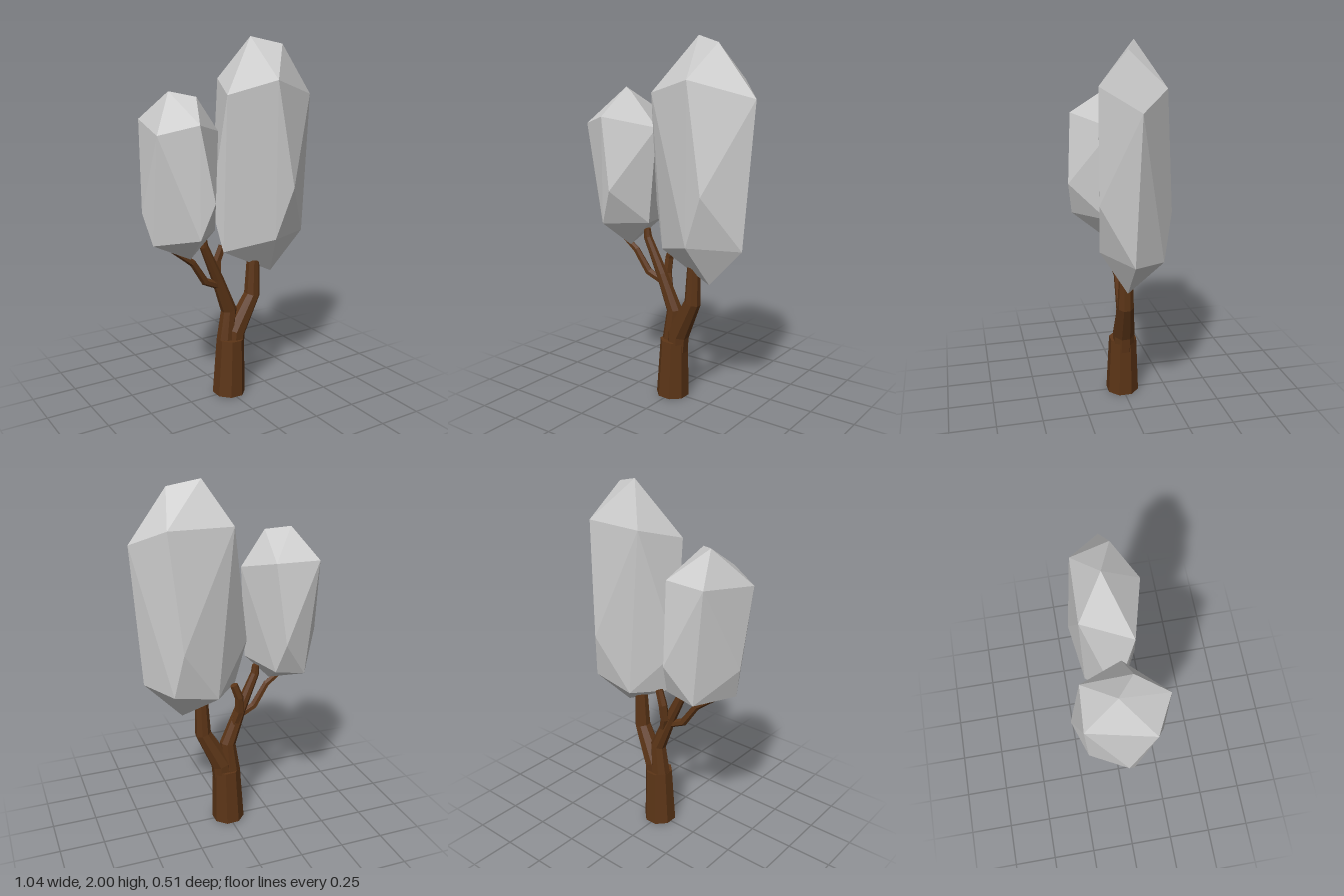
import * as THREE from 'three';
import { ConvexGeometry } from 'three/addons/geometries/ConvexGeometry.js';

const bark = new THREE.MeshStandardMaterial({ color: 0x5c3517, flatShading: true });
const leaf = new THREE.MeshStandardMaterial({ color: 0xcccccc, flatShading: true });

// Corners shared by both crowns: x and y run 0..1, z runs -1..1
const CROWN = [
  [0.41, 1, -0.12], [0.667, 0.97, 0.23],
  [0.065, 0.775, 0.52], [0.495, 0.83, 0.89], [1, 0.76, 0.12],
  [0.75, 0.83, -0.74], [0.206, 0.83, -0.8],
  [0.655, 0.385, 1], [0.66, 0.345, -1], [0, 0.315, 0],
  [0.49, 0.17, 0.89], [0.915, 0.165, 0.22], [0.73, 0.15, -0.74],
  [0.34, 0.115, -0.74], [0.092, 0.118, 0.15], [0.587, 0, 0.16],
];

function crown(name, x0, x1, y0, y1, halfDepth) {
  const points = CROWN.map(([x, y, z]) => new THREE.Vector3(
    x0 + x * (x1 - x0), y0 + y * (y1 - y0), z * halfDepth));
  const mesh = new THREE.Mesh(new ConvexGeometry(points), leaf);
  mesh.name = name;
  return mesh;
}

// Faceted limb through stations [x, y, z, radius], closed at both ends
function limb(name, sides, stations) {
  const centres = stations.map(([x, y, z]) => new THREE.Vector3(x, y, z));
  const last = stations.length - 1;
  const position = [], index = [];
  stations.forEach(([, , , r], i) => {
    const before = centres[Math.max(i - 1, 0)], after = centres[Math.min(i + 1, last)];
    const along = after.clone().sub(before).normalize();
    const tilt = new THREE.Quaternion().setFromUnitVectors(new THREE.Vector3(0, 1, 0), along);
    for (let s = 0; s < sides; s++) {
      const a = (s + 0.5) / sides * Math.PI * 2;
      const p = new THREE.Vector3(Math.sin(a) * r, 0, Math.cos(a) * r)
        .applyQuaternion(tilt).add(centres[i]);
      position.push(p.x, p.y, p.z);
    }
  });
  for (let i = 0; i < last; i++) {
    for (let s = 0; s < sides; s++) {
      const a = i * sides + s, b = i * sides + (s + 1) % sides;
      index.push(a, b, b + sides, a, b + sides, a + sides);
    }
  }
  const top = last * sides;
  for (let s = 1; s < sides - 1; s++) {
    index.push(0, s + 1, s, top, top + s, top + s + 1);
  }
  const geometry = new THREE.BufferGeometry();
  geometry.setAttribute('position', new THREE.Float32BufferAttribute(position, 3));
  geometry.setIndex(index);
  const flat = geometry.toNonIndexed();
  flat.computeVertexNormals();
  const mesh = new THREE.Mesh(flat, bark);
  mesh.name = name;
  return mesh;
}

export function createModel() {
  const tree = new THREE.Group();
  tree.name = 'tree';

  // Trunk and the two main limbs
  tree.add(limb('trunk', 8, [[0, 0, 0, 0.094], [0.01, 0.33, 0, 0.079]]));
  tree.add(limb('leftLimb', 8, [
    [0.03, 0.27, 0, 0.06], [0.04, 0.37, 0, 0.062], [0.145, 0.575, 0.015, 0.046], [0.152, 0.78, 0.015, 0.037],
  ]));
  tree.add(limb('rightLimb', 8, [
    [-0.01, 0.27, -0.01, 0.055], [-0.012, 0.33, -0.01, 0.054], [0.005, 0.5, -0.01, 0.045],
    [-0.075, 0.7, 0, 0.033], [-0.165, 0.9, 0.01, 0.024], [-0.17, 0.95, 0.01, 0.02],
  ]));

  // Side twigs on the right limb
  tree.add(limb('middleTwig', 6, [
    [-0.03, 0.6, -0.01, 0.025], [-0.058, 0.7, -0.03, 0.026], [-0.052, 0.79, -0.04, 0.025], [-0.022, 0.87, -0.035, 0.022],
  ]));
  tree.add(limb('outerTwig', 6, [
    [-0.05, 0.65, 0, 0.022], [-0.16, 0.7, 0.01, 0.022], [-0.24, 0.82, 0.02, 0.019], [-0.38, 0.925, 0.02, 0.014],
  ]));

  // Faceted crowns
  tree.add(crown('largeCrown', -0.11, 0.52, 0.7, 2, 0.188));
  tree.add(crown('smallCrown', -0.52, -0.085, 0.85, 1.73, 0.257));
  return tree;
}
